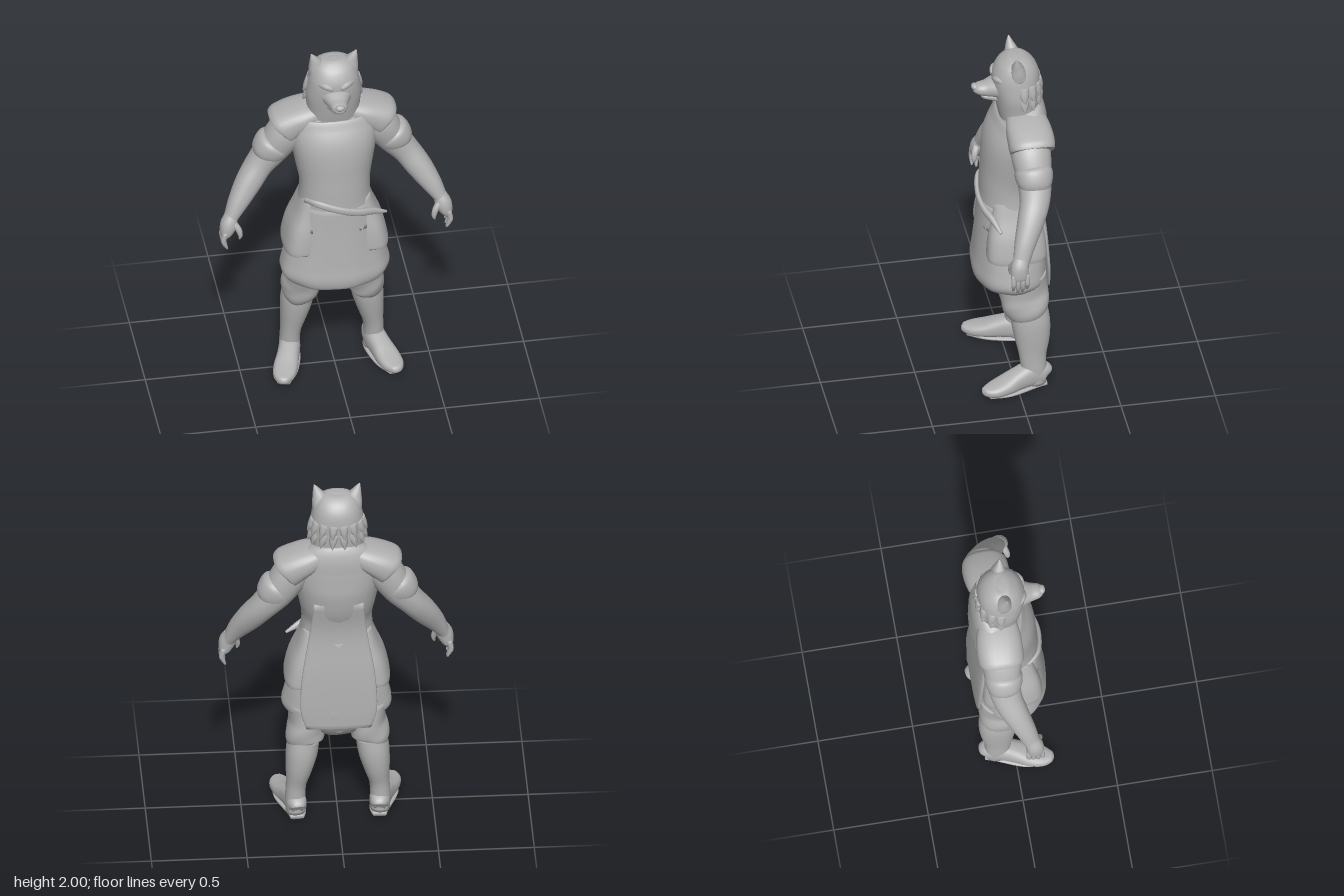
import * as THREE from 'three';

const fur = new THREE.MeshStandardMaterial({ color: 0xb0b0b0, side: THREE.DoubleSide });
fur.name = 'plain grey';

// Smooth skin over sections [x, y, z, half width, half depth]; ref is the depth direction.
// n squares the cross-section, ripple(angle, t) scales it, s = -1 mirrors in x.
function loft(sections, { ref = [0, 0, 1], s = 1, n = 2.2, sides = 28, steps = 5, ripple = null } = {}) {
  const curve = f => new THREE.CatmullRomCurve3(sections.map(f), false, 'catmullrom', 0.5);
  const path = curve(p => new THREE.Vector3(p[0] * s, p[1], p[2]));
  const size = curve(p => new THREE.Vector3(p[3], p[4], 0));
  const rings = (sections.length - 1) * steps;
  const r = new THREE.Vector3(...ref), pos = [], idx = [];
  for (let i = 0; i <= rings; i++) {
    const t = i / rings, c = path.getPoint(t), d = size.getPoint(t), tan = path.getTangent(t);
    const u = tan.clone().cross(r).normalize(), f = u.clone().cross(tan).normalize();
    for (let j = 0; j < sides; j++) {
      const a = j / sides * Math.PI * 2, k = ripple ? ripple(a, t) : 1;
      const e = v => Math.sign(v) * Math.pow(Math.abs(v), 2 / n) * k;
      const p = c.clone().addScaledVector(u, e(Math.cos(a)) * Math.max(d.x, 0.002))
        .addScaledVector(f, e(Math.sin(a)) * Math.max(d.y, 0.002));
      pos.push(p.x, p.y, p.z);
      const j2 = (j + 1) % sides, A = i * sides;
      if (i < rings) idx.push(A + j, A + sides + j, A + j2, A + j2, A + sides + j, A + sides + j2);
    }
  }
  // end caps
  const count = pos.length / 3, first = path.getPoint(0), last = path.getPoint(1);
  pos.push(first.x, first.y, first.z, last.x, last.y, last.z);
  for (let j = 0; j < sides; j++) {
    const j2 = (j + 1) % sides, L = rings * sides;
    idx.push(count, j, j2, count + 1, L + j2, L + j);
  }
  const g = new THREE.BufferGeometry();
  g.setAttribute('position', new THREE.Float32BufferAttribute(pos, 3));
  g.setIndex(idx);
  g.computeVertexNormals();
  return g;
}

export function createModel() {
  const model = new THREE.Group();
  model.name = 'wolfWarrior';
  const add = (name, geometry) => {
    const m = new THREE.Mesh(geometry, fur);
    m.name = name;
    model.add(m);
    return m;
  };

  // tunic body from hip to collar
  add('tunic', loft([
    [0, 0.95, 0, 0.235, 0.17], [0, 1.08, 0, 0.195, 0.16], [0, 1.2, 0, 0.185, 0.155],
    [0, 1.32, -0.02, 0.205, 0.17], [0, 1.44, -0.035, 0.225, 0.17], [0, 1.54, -0.055, 0.23, 0.145],
    [0, 1.61, -0.065, 0.21, 0.125], [0, 1.66, -0.05, 0.14, 0.11], [0, 1.7, -0.04, 0.1, 0.09],
  ]));

  // gathered skirt with soft folds
  add('skirt', loft([
    [0, 0.57, 0.01, 0.14, 0.13], [0, 0.585, 0.005, 0.225, 0.175], [0, 0.64, 0.003, 0.285, 0.196],
    [0, 0.72, 0, 0.275, 0.192], [0, 0.82, 0, 0.25, 0.183], [0, 0.95, 0, 0.225, 0.172],
    [0, 1.09, 0, 0.19, 0.163],
  ], { sides: 56, ripple: (a, t) => 1 + 0.014 * (1 - t) * Math.cos(a * 9) }));

  // long back panel of the coat
  add('coatBack', loft([
    [0, 0.58, -0.182, 0.17, 0.012], [0, 0.7, -0.178, 0.2, 0.015], [0, 0.9, -0.162, 0.19, 0.02],
    [0, 1.15, -0.14, 0.15, 0.02], [0, 1.35, -0.17, 0.13, 0.02],
  ], { n: 2.6 }));

  // loincloth end hanging below the hem
  add('loincloth', loft([
    [0, 0.52, -0.12, 0.035, 0.025], [0, 0.56, -0.12, 0.065, 0.04], [0, 0.63, -0.1, 0.1, 0.05],
  ]));

  // diagonal sash and its loose end
  add('sash', loft([
    [-0.17, 1.13, 0.08, 0.016, 0.01], [-0.11, 1.14, 0.145, 0.02, 0.012], [0, 1.105, 0.168, 0.02, 0.012],
    [0.1, 1.07, 0.155, 0.022, 0.014], [0.18, 1.045, 0.12, 0.02, 0.016], [0.26, 1.01, 0.09, 0.006, 0.008],
  ]));

  for (const s of [1, -1]) {
    const side = s > 0 ? 'left' : 'right';

    // coat skirt flap over the hip
    add(side + 'CoatFlap', loft([
      [0.185, 0.81, -0.005, 0.09, 0.155], [0.184, 0.83, -0.005, 0.092, 0.158],
      [0.17, 0.92, -0.005, 0.085, 0.15], [0.145, 1.02, -0.005, 0.07, 0.13], [0.12, 1.12, 0, 0.06, 0.11],
    ], { s, n: 2.8 }));

    // sleeve and forearm
    add(side + 'Arm', loft([
      [0.17, 1.58, -0.07, 0.06, 0.09], [0.24, 1.49, -0.07, 0.092, 0.105], [0.31, 1.385, -0.075, 0.086, 0.092],
      [0.385, 1.29, -0.065, 0.072, 0.08], [0.45, 1.2, -0.03, 0.068, 0.07], [0.51, 1.11, 0.01, 0.054, 0.056],
      [0.55, 1.04, 0.035, 0.038, 0.045], [0.565, 1.01, 0.045, 0.034, 0.042],
    ], { s }));

    // sleeve fold above the elbow
    add(side + 'SleeveFold', loft([
      [0.285, 1.45, -0.07, 0.05, 0.06], [0.305, 1.42, -0.072, 0.092, 0.098],
      [0.34, 1.37, -0.072, 0.089, 0.093], [0.36, 1.33, -0.07, 0.06, 0.07],
    ], { s }));

    // shoulder cape with a flared edge
    add(side + 'ShoulderCape', loft([
      [0.06, 1.63, -0.06, 0.045, 0.09], [0.14, 1.595, -0.07, 0.07, 0.115],
      [0.215, 1.56, -0.075, 0.085, 0.122], [0.262, 1.53, -0.075, 0.095, 0.12],
      [0.272, 1.522, -0.075, 0.085, 0.11],
    ], { s, n: 2.5 }));

    // palm, curled fingers and thumb
    add(side + 'Palm', loft([
      [0.55, 1.05, 0.035, 0.034, 0.04], [0.567, 1.0, 0.05, 0.044, 0.047],
      [0.583, 0.95, 0.052, 0.032, 0.044], [0.587, 0.925, 0.052, 0.014, 0.03],
    ], { s }));
    for (let i = 0; i < 4; i++) {
      const z = 0.015 + i * 0.024, drop = [0.02, 0.005, 0, 0.015][i];
      add(side + 'Finger' + (i + 1), loft([
        [0.588, 0.97, z, 0.014, 0.012], [0.599, 0.925, z, 0.014, 0.013],
        [0.594, 0.885 + drop, z, 0.012, 0.012], [0.58, 0.853 + drop, z, 0.005, 0.006],
      ], { s, sides: 10, steps: 3 }));
    }
    add(side + 'Thumb', loft([
      [0.548, 1.02, 0.065, 0.018, 0.02], [0.522, 0.985, 0.082, 0.017, 0.017],
      [0.512, 0.95, 0.088, 0.013, 0.013], [0.516, 0.925, 0.088, 0.005, 0.005],
    ], { s, sides: 12, steps: 3 }));

    // breeches bunched at the knee
    add(side + 'Breeches', loft([
      [0.165, 0.42, -0.07, 0.07, 0.09], [0.172, 0.455, -0.062, 0.097, 0.115], [0.168, 0.5, -0.055, 0.1, 0.125],
      [0.16, 0.56, -0.045, 0.094, 0.13], [0.155, 0.66, -0.03, 0.1, 0.14],
    ], { s, ripple: (a, t) => 1 + 0.025 * Math.sin(a * 3 + t * 9) }));

    // boot shaft
    add(side + 'BootShaft', loft([
      [0.22, 0.02, -0.095, 0.052, 0.06], [0.222, 0.1, -0.09, 0.053, 0.066], [0.217, 0.19, -0.085, 0.054, 0.072],
      [0.202, 0.29, -0.085, 0.071, 0.092], [0.188, 0.38, -0.08, 0.083, 0.102], [0.175, 0.47, -0.07, 0.082, 0.1],
    ], { s }));

    // foot with turned-out toes
    add(side + 'Foot', loft([
      [0.213, 0.062, -0.158, 0.03, 0.035], [0.215, 0.072, -0.14, 0.05, 0.058], [0.225, 0.075, -0.07, 0.056, 0.068],
      [0.245, 0.064, 0.0, 0.058, 0.057], [0.27, 0.048, 0.075, 0.064, 0.042],
      [0.29, 0.04, 0.14, 0.056, 0.031], [0.3, 0.041, 0.185, 0.03, 0.02], [0.303, 0.042, 0.197, 0.006, 0.006],
    ], { s, ref: [0, 1, 0], n: 2.5 }));
    add(side + 'Sole', loft([
      [0.215, 0.012, -0.155, 0.036, 0.012], [0.22, 0.012, -0.08, 0.054, 0.012],
      [0.265, 0.012, 0.06, 0.062, 0.012], [0.296, 0.015, 0.165, 0.034, 0.012],
    ], { s, ref: [0, 1, 0], n: 3 }));

    // pointed ear
    add(side + 'Ear', loft([
      [0.08, 1.86, -0.035, 0.05, 0.055], [0.09, 1.92, -0.03, 0.042, 0.038],
      [0.106, 1.965, -0.023, 0.022, 0.02], [0.119, 2.0, -0.02, 0.003, 0.003],
    ], { s, sides: 14 }));

    // brow ridge
    add(side + 'Brow', loft([
      [0.02, 1.835, 0.085, 0.012, 0.012], [0.06, 1.85, 0.072, 0.018, 0.016], [0.105, 1.845, 0.025, 0.008, 0.01],
    ], { s, sides: 12 }));

    // cheek and nape tufts
    for (let i = 0; i < 8; i++) {
      const a = 0.1 + (i % 4) * 0.42, y = 1.765 - Math.floor(i / 4) * 0.055;
      const x = Math.cos(a), z = -Math.sin(a);
      add(side + 'Tuft' + (i + 1), loft([
        [x * 0.115, y + 0.05, -0.045 + z * 0.095, 0.03, 0.03], [x * 0.138, y + 0.01, -0.045 + z * 0.11, 0.02, 0.024],
        [x * 0.158, y - 0.025, -0.045 + z * 0.128, 0.002, 0.002],
      ], { s, sides: 10, steps: 3 }));
    }
  }

  // head and thick neck
  add('head', loft([
    [0, 1.58, -0.05, 0.14, 0.1], [0, 1.66, -0.045, 0.14, 0.112], [0, 1.74, -0.04, 0.146, 0.12],
    [0, 1.81, -0.035, 0.138, 0.125], [0, 1.87, -0.033, 0.126, 0.118], [0, 1.92, -0.03, 0.105, 0.09],
    [0, 1.95, -0.028, 0.07, 0.05], [0, 1.958, -0.028, 0.02, 0.015],
  ]));

  // muzzle, lower jaw and nose
  const forward = { ref: [0, 1, 0] };
  add('muzzle', loft([
    [0, 1.775, 0.03, 0.1, 0.065], [0, 1.77, 0.08, 0.07, 0.052], [0, 1.765, 0.125, 0.05, 0.04],
    [0, 1.768, 0.165, 0.04, 0.03], [0, 1.772, 0.188, 0.022, 0.018],
  ], forward));
  add('jaw', loft([
    [0, 1.715, 0.04, 0.065, 0.035], [0, 1.718, 0.09, 0.042, 0.025], [0, 1.722, 0.135, 0.028, 0.016],
    [0, 1.726, 0.15, 0.008, 0.006],
  ], forward));
  const nose = add('nose', new THREE.SphereGeometry(0.021, 16, 12));
  nose.position.set(0, 1.782, 0.182);
  nose.scale.set(1.2, 0.85, 0.9);

  return model;
}
